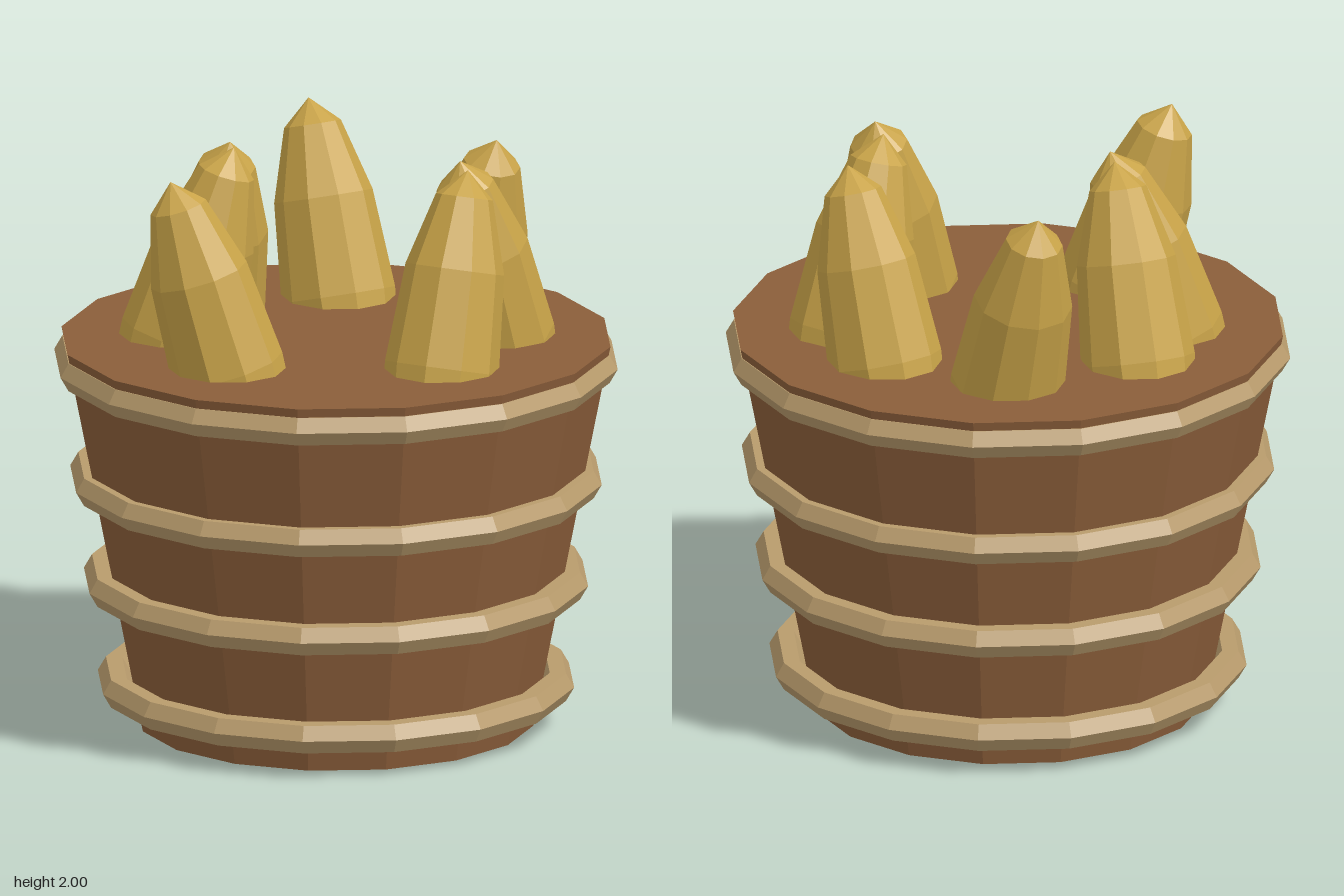
import * as THREE from 'three';

const mat = (name, color) => new THREE.MeshStandardMaterial({ name, color, flatShading: true });

export function createModel() {
  const wood = mat('brown wood', 0x8b5e3a);
  const hoop = mat('tan hoop', 0xb89b6c);
  const gold = mat('golden yellow', 0xc8a348);
  const model = new THREE.Group();
  model.name = 'basketOfCobs';

  const add = (name, geometry, material) => {
    const mesh = new THREE.Mesh(geometry, material);
    mesh.name = name;
    model.add(mesh);
    return mesh;
  };

  // Tapered, closed tub
  add('tub', new THREE.CylinderGeometry(0.945, 0.68, 1.35, 16), wood).position.y = 0.675;

  // Hexagonal-section hoops: [height, outer radius]
  const tube = 0.056;
  for (const [y, outer] of [[0.14, 0.82], [0.5, 0.868], [0.86, 0.915], [1.27, 0.97]]) {
    const ring = add('hoop', new THREE.TorusGeometry(outer - tube, tube, 6, 16), hoop);
    ring.rotation.x = Math.PI / 2;
    ring.position.y = y;
  }

  // Leaning cobs, half sunk into the tub: [base x, base z, tip x, tip z]
  const cobs = [
    [-0.54, 0.10, -0.68, -0.035],
    [-0.405, -0.36, -0.24, -0.26],
    [-0.145, -0.535, -0.20, -0.335],
    [0.33, -0.425, 0.35, -0.62],
    [0.54, -0.01, 0.54, 0.195],
    [0.46, 0.305, 0.27, 0.345],
    [0.045, 0.54, 0.22, 0.455],
  ];
  const cobGeometry = new THREE.SphereGeometry(1, 10, 6).scale(0.196, 0.68, 0.196);
  const up = new THREE.Vector3(0, 1, 0);
  for (const [bx, bz, tx, tz] of cobs) {
    const cob = add('cob', cobGeometry, gold);
    const lean = new THREE.Vector3(tx - bx, 0.65, tz - bz).normalize();
    cob.position.set(bx, 1.35, bz);
    cob.quaternion.setFromUnitVectors(up, lean);
  }
  return model;
}
